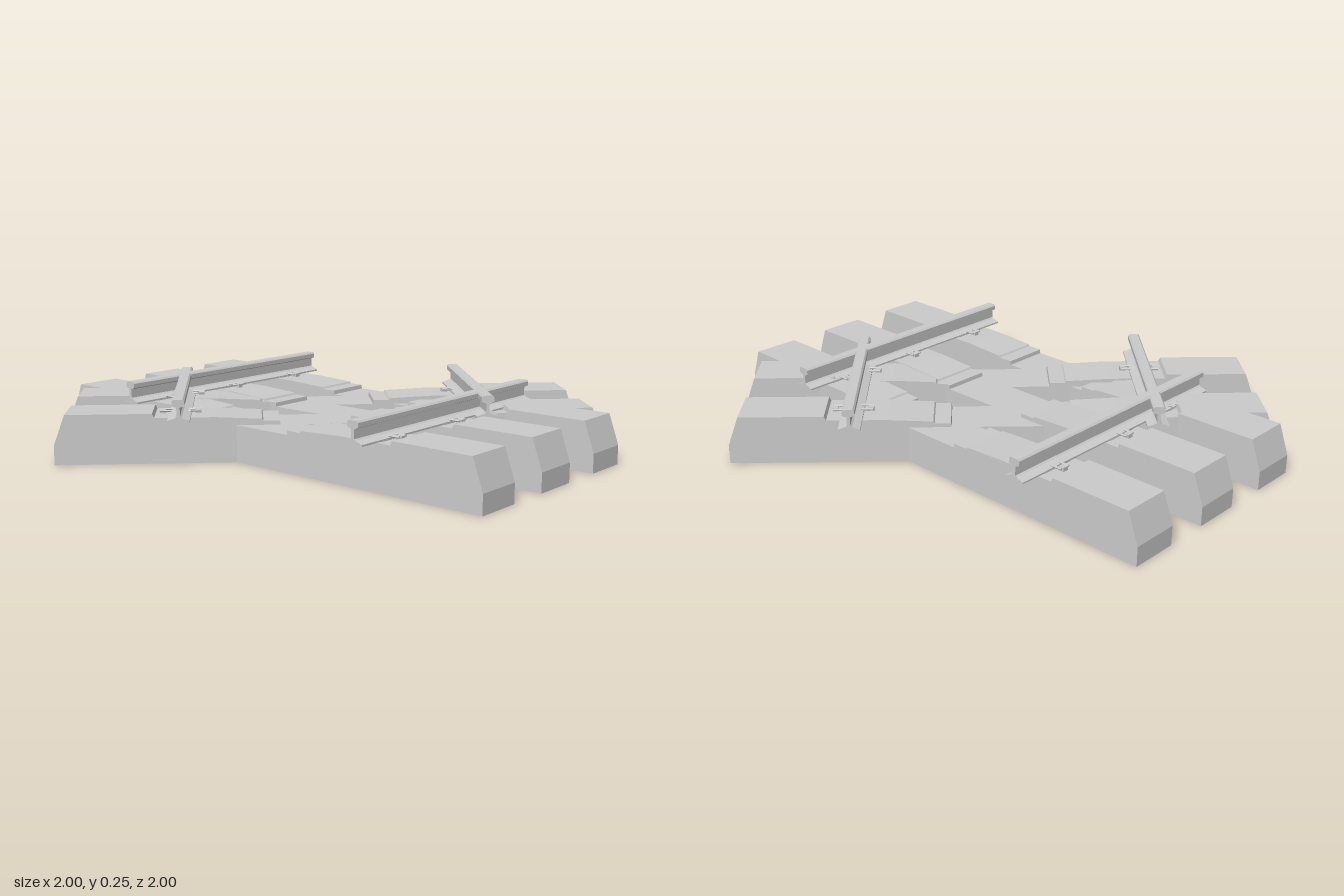
import * as THREE from 'three';

const grey = new THREE.MeshStandardMaterial({ color: 0xcccccc, flatShading: true });
const SEAT = 0.165;     // height of the rail seats
const GAUGE = 0.54;     // rail distance from the track centre
const TIE_WIDTH = 0.178;

// Extrude a closed [x, y] profile along z, centred on z = 0
function extrude(points, depth, name) {
  const shape = new THREE.Shape(points.map(([x, y]) => new THREE.Vector2(x, y)));
  const geometry = new THREE.ExtrudeGeometry(shape, { depth, bevelEnabled: false });
  geometry.translate(0, 0, -depth / 2);
  const mesh = new THREE.Mesh(geometry, grey);
  mesh.name = name;
  return mesh;
}

// Complete a half profile by mirroring it in x
function mirrored(half) {
  return [...half, ...half.map(([x, y]) => [-x, y]).reverse()];
}

function box(w, h, d, x, y, z, name) {
  const mesh = new THREE.Mesh(new THREE.BoxGeometry(w, h, d), grey);
  mesh.position.set(x, y, z);
  mesh.name = name;
  return mesh;
}

// Concrete sleeper: low middle, stepped up to the seats, chamfered ends
const sleeperHalf = [
  [0.982, 0], [0.982, 0.07], [0.942, 0.18], [0.637, 0.18], [0.63, SEAT],
  [0.415, SEAT], [0.25, 0.157], [0.245, 0.15], [0.187, 0.15], [0.185, 0.135],
];

// Rail: wide foot, thin web, rounded-off head
const railHalf = [
  [0.039, 0], [0.039, 0.006], [0.012, 0.015], [0.006, 0.02], [0.006, 0.052],
  [0.022, 0.058], [0.022, 0.074], [0.016, 0.08],
];

// Clip holding the rail foot: shoulder, bolt head and two spring arms
function createFastener(side) {
  const clip = new THREE.Group();
  clip.name = 'railFastener';
  clip.add(box(0.022, 0.014, 0.022, side * 0.064, 0.007, 0, 'clipShoulder'));
  for (const z of [-0.018, 0.018]) {
    const arm = new THREE.Mesh(new THREE.CylinderGeometry(0.004, 0.004, 0.045, 6), grey);
    arm.rotation.z = Math.PI / 2;
    arm.position.set(side * 0.05, 0.011, z);
    arm.name = 'clipArm';
    clip.add(arm);
  }
  return clip;
}

function createSleeper() {
  const sleeper = new THREE.Group();
  sleeper.name = 'sleeper';
  sleeper.add(extrude(mirrored(sleeperHalf), TIE_WIDTH, 'sleeperBody'));
  for (const end of [-1, 1]) {
    const seat = new THREE.Group();
    seat.name = 'railSeat';
    seat.position.set(end * GAUGE, SEAT, 0);
    seat.add(box(0.08, 0.004, 0.13, 0, 0.001, 0, 'railPad'));
    seat.add(createFastener(-1), createFastener(1));
    sleeper.add(seat);
  }
  return sleeper;
}

// A straight panel of track with its sleepers along x and its rails along z
function createTrack(name, sleeperPositions, railLength) {
  const track = new THREE.Group();
  track.name = name;
  for (const z of sleeperPositions) {
    const sleeper = createSleeper();
    sleeper.position.z = z;
    track.add(sleeper);
  }
  for (const side of [-1, 1]) {
    const rail = extrude(mirrored(railHalf), railLength, 'rail');
    rail.position.set(side * GAUGE, SEAT + 0.001, 0);
    track.add(rail);
  }
  return track;
}

export function createModel() {
  const model = new THREE.Group();
  model.name = 'crossedTracks';

  const straight = createTrack('straightTrack', [-0.178, 0.178], 0.715);
  straight.position.set(-0.005, 0, -0.006);

  const diagonal = createTrack('diagonalTrack', [-0.34, 0, 0.34], 1.012);
  diagonal.rotation.y = -Math.PI / 4;
  diagonal.position.set(-0.002, 0, -0.002);

  model.add(straight, diagonal);
  return model;
}
